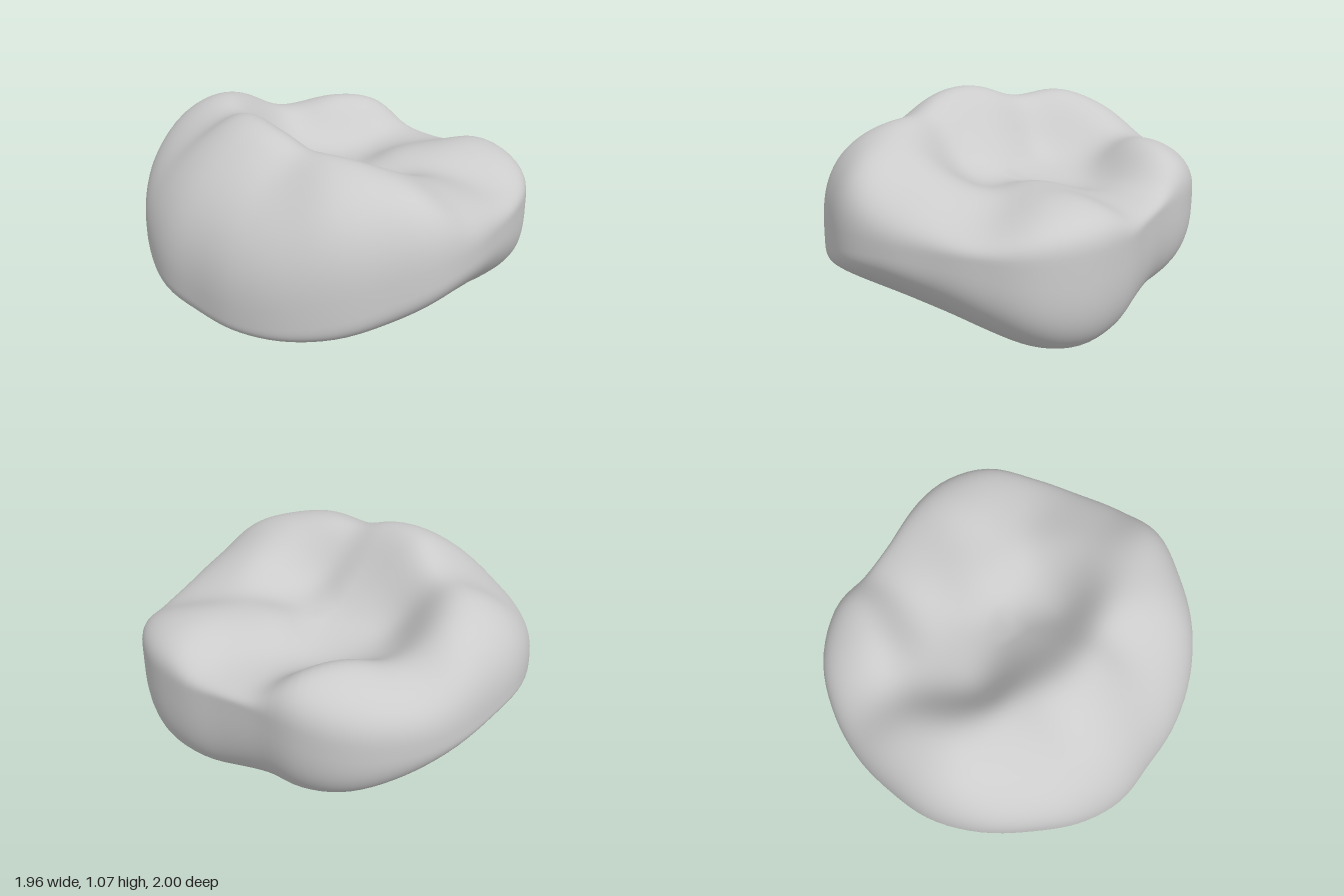
import * as THREE from 'three';
import { mergeVertices } from 'three/addons/utils/BufferGeometryUtils.js';

// Values around the crown, evenly spaced from +x towards +z
const RADIUS = [0.94, 1.01, 1.03, 0.98, 0.95, 0.97, 1.0, 0.98, 0.98, 0.975, 0.96, 0.945,
  0.98, 0.99, 0.99, 1.01, 1.02, 1.0, 1.0, 1.0, 0.995, 0.95, 0.87, 0.87];
const WAIST = [0.6, 0.6, 0.6, 0.56, 0.43, 0.34, 0.4, 0.58, 0.6, 0.54, 0.58, 0.64];
const TOP_POWER = [3.2, 3, 2.7, 2.7, 2.7, 2.4, 2.1, 2.2, 2.5, 2.7, 2.8, 3];
const BOTTOM_POWER = [3.5, 4, 3.8, 4, 5, 5.5, 4, 3.2, 3, 3, 3, 3];

// Points on the chewing surface: [x, z, y]
const CUSPS = [[-0.45, 0, 1.1], [-0.25, 0.55, 1.02], [0.72, 0.28, 0.82], [0.45, -0.63, 0.88], [-0.28, -0.65, 1.01]];
const RIDGES = [[-0.62, 0.05, 1.02], [-0.55, -0.35, 0.97], [0.45, 0.1, 0.8],
  [0.02, 0.6, 0.94], [0.27, 0.62, 0.83], [-0.2, 0, 0.91]];
const RIM = [[-0.2, 0.8, 0.93], [-0.2, -0.8, 0.94], [0.1, -0.78, 0.83], [0.4, -0.78, 0.82]];
const GROOVES = [[0.52, 0.52, 0.75], [0.62, -0.2, 0.72], [0.35, -0.3, 0.69], [0.05, -0.13, 0.71],
  [-0.02, -0.48, 0.77], [0.08, 0.33, 0.78], [-0.57, 0.4, 0.9]];

// Smooth closed interpolation of a table at angle a
function around(table, a) {
  const n = table.length, t = ((a / (2 * Math.PI)) * n + n) % n, i = Math.floor(t), f = t - i;
  const [p, q, r, s] = [-1, 0, 1, 2].map((k) => table[(i + k + n) % n]);
  return q + 0.5 * f * (r - p + f * (2 * p - 5 * q + 4 * r - s + f * (3 * (q - r) + s - p)));
}

// Control heights with the rounding towards the rim taken out
const controls = [...CUSPS, ...RIDGES, ...RIM, ...GROOVES].map(([x, z, y]) => {
  const a = Math.atan2(z, x), p = around(TOP_POWER, a), w = around(WAIST, a);
  const rho = Math.hypot(x, z) / around(RADIUS, a);
  const target = w + (y - w) / (1 - rho ** p) ** (1 / p);
  return { x, z, target, h: target };
});

// Soft blend of the control heights
function topHeight(x, z) {
  let sum = 0, total = 0;
  for (const c of controls) {
    const w = Math.exp(-((x - c.x) ** 2 + (z - c.z) ** 2) / 0.05);
    sum += w * c.h;
    total += w;
  }
  return sum / total;
}

// Push the controls until the blend passes close to their targets
for (let pass = 0; pass < 6; pass++) {
  const errors = controls.map((c) => c.target - topHeight(c.x, c.z));
  controls.forEach((c, i) => { c.h += errors[i]; });
}

// Sloping, keel-like underside, lowest towards +x
const bottomHeight = (x, z) => 0.07 - 0.12 * x + z * z * (0.27 + 0.4 * x * z);

export function createModel() {
  const group = new THREE.Group();

  // A sphere reshaped into a crown: plan outline, cusped top, sloping base
  let geo = new THREE.SphereGeometry(1, 112, 80);
  geo.deleteAttribute('uv');
  geo.deleteAttribute('normal');
  geo = mergeVertices(geo, 1e-5);
  const pos = geo.attributes.position;
  for (let i = 0; i < pos.count; i++) {
    const sx = pos.getX(i), sy = pos.getY(i), sz = pos.getZ(i);
    const a = Math.atan2(sz, sx), waist = around(WAIST, a);
    const power = around(sy > 0 ? TOP_POWER : BOTTOM_POWER, a);
    const r = around(RADIUS, a) * Math.hypot(sx, sz) ** (2 / power);
    const f = Math.abs(sy) ** (2 / power);
    const x = r * Math.cos(a), z = r * Math.sin(a);
    const target = sy > 0 ? topHeight(x, z) : bottomHeight(x, z);
    pos.setXYZ(i, x, waist + (target - waist) * f, z);
  }

  // Stand on the ground, centred
  geo.computeBoundingBox();
  const box = geo.boundingBox, c = box.getCenter(new THREE.Vector3());
  geo.translate(-c.x, -box.min.y, -c.z);
  geo.computeVertexNormals();

  const crown = new THREE.Mesh(geo, new THREE.MeshStandardMaterial({ color: 0xcccccc }));
  crown.name = 'toothCrown';
  group.add(crown);
  return group;
}
